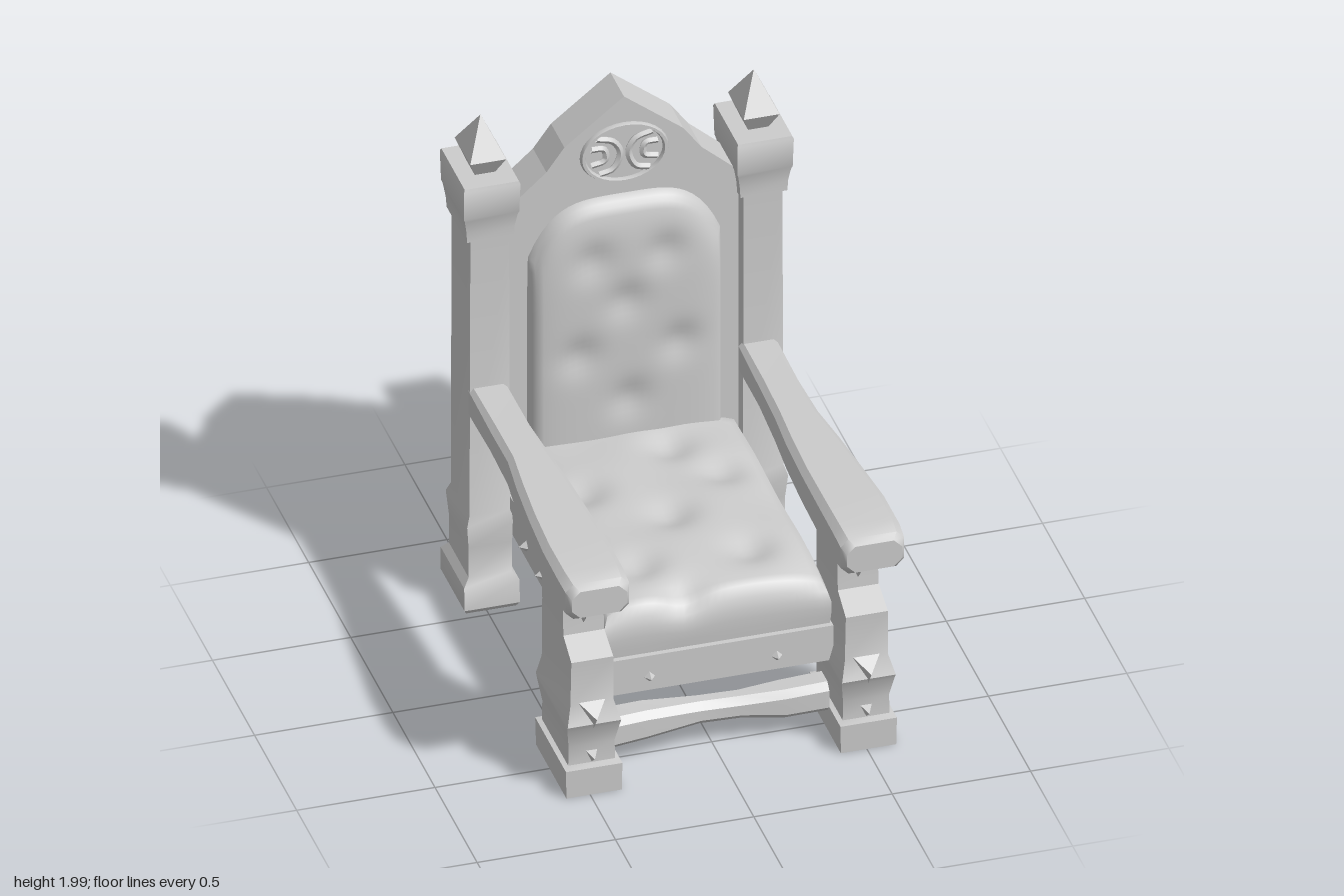
import * as THREE from 'three';
import { toCreasedNormals } from 'three/addons/utils/BufferGeometryUtils.js';

const stone = new THREE.MeshStandardMaterial({ color: 0xcccccc, side: THREE.DoubleSide });
stone.name = 'pale grey';
const CX = 0.01; // the back and posts sit a touch off centre

function add(parent, name, geometry, crease = 0.6) {
  const mesh = new THREE.Mesh(toCreasedNormals(geometry, crease), stone);
  mesh.name = name;
  parent.add(mesh);
  return mesh;
}

// Skin over a list of rings, each an array of [x, y, z]
function loft(rings, capStart, capEnd) {
  const n = rings[0].length, idx = [];
  for (let r = 0; r < rings.length - 1; r++) {
    for (let i = 0; i < n; i++) {
      const a = r * n + i, b = r * n + (i + 1) % n;
      idx.push(a, b, b + n, a, b + n, a + n);
    }
  }
  const last = (rings.length - 1) * n;
  for (let i = 1; i < n - 1; i++) {
    if (capStart) idx.push(0, i + 1, i);
    if (capEnd) idx.push(last, last + i, last + i + 1);
  }
  const g = new THREE.BufferGeometry();
  g.setAttribute('position', new THREE.Float32BufferAttribute(rings.flat(2), 3));
  g.setIndex(idx);
  return g;
}

// Square column, rows of [y, half width, back z, front z], open underneath
const column = (cx, rows) => loft(rows.map(([y, w, z0, z1]) =>
  [[cx - w, y, z1], [cx + w, y, z1], [cx + w, y, z0], [cx - w, y, z0]]), false, true);

// Bevelled rectangle ring, counter-clockwise in (u, v)
function bevelRing(u0, u1, v0, v1, b) {
  return [[u1, v0 + b], [u1, v1 - b], [u1 - b, v1], [u0 + b, v1],
    [u0, v1 - b], [u0, v0 + b], [u0 + b, v0], [u1 - b, v0]];
}

function warp(g, rule) {
  const p = g.attributes.position, v = new THREE.Vector3();
  for (let i = 0; i < p.count; i++) {
    rule(v.fromBufferAttribute(p, i));
    p.setXYZ(i, v.x, v.y, v.z);
  }
  return g;
}

// Depth of button tufts at (a, b)
const tufts = (a, b, spots, r) => spots.reduce((s, [u, v]) =>
  s + Math.exp(-((a - u) ** 2 + (b - v) ** 2) / (r * r)), 0);

function backPost(parent, cx) {
  add(parent, 'backPost', column(cx, [
    [0.01, 0.09, -0.785, -0.53], [0.03, 0.1, -0.8, -0.515], [0.12, 0.1, -0.8, -0.52],
    [0.15, 0.078, -0.775, -0.54], [0.27, 0.078, -0.775, -0.54], [0.36, 0.086, -0.785, -0.53],
    [0.4, 0.073, -0.768, -0.545], [1.53, 0.07, -0.767, -0.545]]));
  add(parent, 'capital', loft([
    [1.53, 0.085, -0.778, -0.535], [1.57, 0.087, -0.782, -0.535], [1.62, 0.095, -0.79, -0.527],
    [1.635, 0.1, -0.795, -0.522], [1.75, 0.102, -0.803, -0.515], [1.76, 0.098, -0.798, -0.52],
  ].map(([y, w, a, b]) => [[cx - w, y, b], [cx + w, y, b], [cx + w, y, a], [cx - w, y, a]]), true, true));
  // Pointed finial
  const tip = [[1.755, 0.035, 0.05], [1.83, 0.065, 0.093], [1.968, 0.001, 0.001]];
  add(parent, 'finial', loft(tip.map(([y, w, d]) => [[cx - w, y, -0.655 + d], [cx + w, y, -0.655 + d],
    [cx + w, y, -0.655 - d], [cx - w, y, -0.655 - d]]), true, true), 0.2);
}

function frontLeg(parent, cx) {
  add(parent, 'frontLeg', column(cx, [
    [0.01, 0.1, 0.34, 0.7], [0.12, 0.102, 0.335, 0.702], [0.125, 0.085, 0.36, 0.672],
    [0.2, 0.083, 0.358, 0.67], [0.28, 0.095, 0.335, 0.695], [0.3, 0.097, 0.328, 0.705],
    [0.37, 0.078, 0.335, 0.675], [0.55, 0.076, 0.33, 0.68], [0.6, 0.074, 0.328, 0.578],
    [0.68, 0.073, 0.322, 0.572], [0.8, 0.073, 0.293, 0.572]]));
  // Carved studs on the front face
  for (const [y, z, r, h, d] of [[0.35, 0.685, 0.055, 0.13, 0.12], [0.165, 0.67, 0.03, 0.06, 0.1],
    [0.69, 0.575, 0.035, 0.08, 0.09], [0.08, 0.7, 0.025, 0.03, 0.02]]) {
    const g = new THREE.ConeGeometry(1, 1, 3).rotateX(Math.PI / 2).scale(r, h / 1.5, d / 2);
    add(parent, 'legStud', g, 0.2).position.set(cx, y - h * 0.12, z + d / 4 - 0.01);
  }
}

function armrest(parent, s) {
  // rows of [z, inner x, outer x, bottom, top, bevel]
  const rows = [[-0.56, 0.42, 0.557, 0.795, 0.92, 0.015], [-0.3, 0.415, 0.557, 0.8, 0.918, 0.02],
    [-0.08, 0.405, 0.56, 0.795, 0.927, 0.02], [0.1, 0.392, 0.582, 0.79, 0.93, 0.022],
    [0.3, 0.385, 0.6, 0.785, 0.933, 0.022], [0.52, 0.38, 0.616, 0.785, 0.942, 0.024],
    [0.7, 0.38, 0.617, 0.79, 0.942, 0.026], [0.775, 0.382, 0.612, 0.795, 0.935, 0.028],
    [0.802, 0.397, 0.597, 0.812, 0.918, 0.03]];
  add(parent, 'armrest', loft(rows.map(([z, a, b, y0, y1, bev]) =>
    bevelRing(s > 0 ? a : -b, s > 0 ? b : -a, y0, y1, bev).map(([x, y]) => [x, y, z])), true, true), 0.7);
}

function seat(parent) {
  const frame = add(parent, 'seatFrame', new THREE.BoxGeometry(0.83, 0.14, 1.13));
  frame.position.set(CX, 0.37, -0.015);
  // Studs along the frame
  const stud = (x, z, turn) => {
    const g = new THREE.ConeGeometry(0.024, 0.03, 4).rotateX(Math.PI / 2).rotateY(turn);
    add(parent, 'frameStud', g, 0.2).position.set(x, 0.355, z);
  };
  for (const z of [0.25, 0.03, -0.18, -0.37]) {
    for (const s of [-1, 1]) stud(CX + s * 0.428, z, s * Math.PI / 2);
  }
  for (const x of [-0.24, 0.22]) stud(x, 0.56, 0);

  // Tufted seat cushion
  const spots = [[-0.2, 0.3], [0.2, 0.3], [0, 0.02], [-0.25, -0.2], [0.25, -0.2], [-0.1, 0.5], [0.12, -0.4]];
  add(parent, 'seatCushion', warp(new THREE.BoxGeometry(2, 1, 2, 28, 5, 32), (v) => {
    const u = v.x, w = v.z, t = v.y + 0.5;
    const round = 1 - 0.05 * Math.max(0, t - 0.5) ** 2 * 4;
    const bulge = 1 + 0.012 * Math.sin(Math.PI * t);
    v.x = CX + u * 0.408 * round * bulge;
    v.z = -0.02 + w * 0.55 * round * bulge;
    const top = 0.66 - 0.035 * Math.abs(u) ** 5 - 0.03 * Math.max(0, w) ** 6
      - 0.035 * tufts(v.x, v.z, spots, 0.08) + 0.006 * Math.sin(v.x * 13) * Math.cos(v.z * 11);
    v.y = 0.44 + t * (top - 0.44);
  }), 0.9);
}

function back(parent) {
  const outline = [[-0.415, 0.3], [0.415, 0.3], [0.415, 1.62], [0.37, 1.66], [0.28, 1.74],
    [0.215, 1.83], [0, 2], [-0.215, 1.83], [-0.28, 1.74], [-0.37, 1.66], [-0.415, 1.62]];
  const shape = new THREE.Shape(outline.map(([x, y]) => new THREE.Vector2(x, y)));
  add(parent, 'backBoard', new THREE.ExtrudeGeometry(shape, { depth: 0.16, bevelEnabled: false }), 0.2)
    .position.set(CX, 0, -0.735);

  // Arched, tufted back cushion
  const spots = [[-0.12, 1.38], [0.14, 1.38], [0, 1.2], [-0.17, 1.0], [0.19, 1.0], [0.01, 0.8]];
  add(parent, 'backCushion', warp(new THREE.BoxGeometry(2, 1, 1, 28, 36, 4), (v) => {
    const u = v.x, t = v.y + 0.5, d = v.z + 0.5;
    const shrink = 1 - 0.06 * d * d;
    const top = 1.61 - 0.2 * Math.abs(u) ** 4;
    const y = 0.58 + t * (top - 0.58);
    v.x = CX + u * 0.352 * shrink;
    v.y = 1.05 + (y - 1.05) * shrink;
    const front = -0.503 - 0.018 * Math.abs(u) ** 6 - 0.03 * t ** 12
      - 0.022 * tufts(v.x, v.y, spots, 0.07);
    v.z = -0.6 + d * (front + 0.6);
  }), 0.9);

  // Oval carving: rim, two opposed scrolls and a cross ridge
  const carving = new THREE.Group();
  carving.name = 'ovalCarving';
  carving.position.set(CX, 1.775, -0.572);
  parent.add(carving);
  add(carving, 'carvingRim', new THREE.TorusGeometry(0.15, 0.011, 6, 32).scale(1, 0.75, 1.4), 1);
  const ridge = (points) => add(carving, 'carvingRidge', new THREE.TubeGeometry(
    new THREE.CatmullRomCurve3(points.map(([x, y]) => new THREE.Vector3(x, y, 0))), 16, 0.013, 5), 1);
  for (const s of [-1, 1]) {
    ridge([[s * 0.1, 0.07], [s * 0.04, 0.05], [s * 0.015, 0], [s * 0.04, -0.06], [s * 0.09, -0.075]]);
    ridge([[s * 0.12, 0.03], [s * 0.075, 0.025], [s * 0.07, -0.02], [s * 0.12, -0.035]]);
  }
}

function stretcher(parent) {
  const rows = [[-0.385, 0.085, 0.208], [-0.25, 0.095, 0.212], [-0.05, 0.105, 0.195],
    [0.1, 0.1, 0.19], [0.25, 0.088, 0.203], [0.405, 0.092, 0.21]];
  add(parent, 'stretcher', loft(rows.map(([x, y0, y1]) =>
    bevelRing(y0, y1, 0.45, 0.45 + (y1 - y0), 0.025).map(([y, z]) => [x, y, z])), true, true), 0.7);
}

export function createModel() {
  const model = new THREE.Group();
  model.name = 'throne';
  for (const s of [-1, 1]) {
    backPost(model, CX + s * 0.494);
    frontLeg(model, CX + s * 0.496);
    armrest(model, s);
  }
  seat(model);
  back(model);
  stretcher(model);
  model.position.y = -0.01; // feet on the ground
  const root = new THREE.Group();
  root.name = 'chair';
  root.add(model);
  return root;
}
